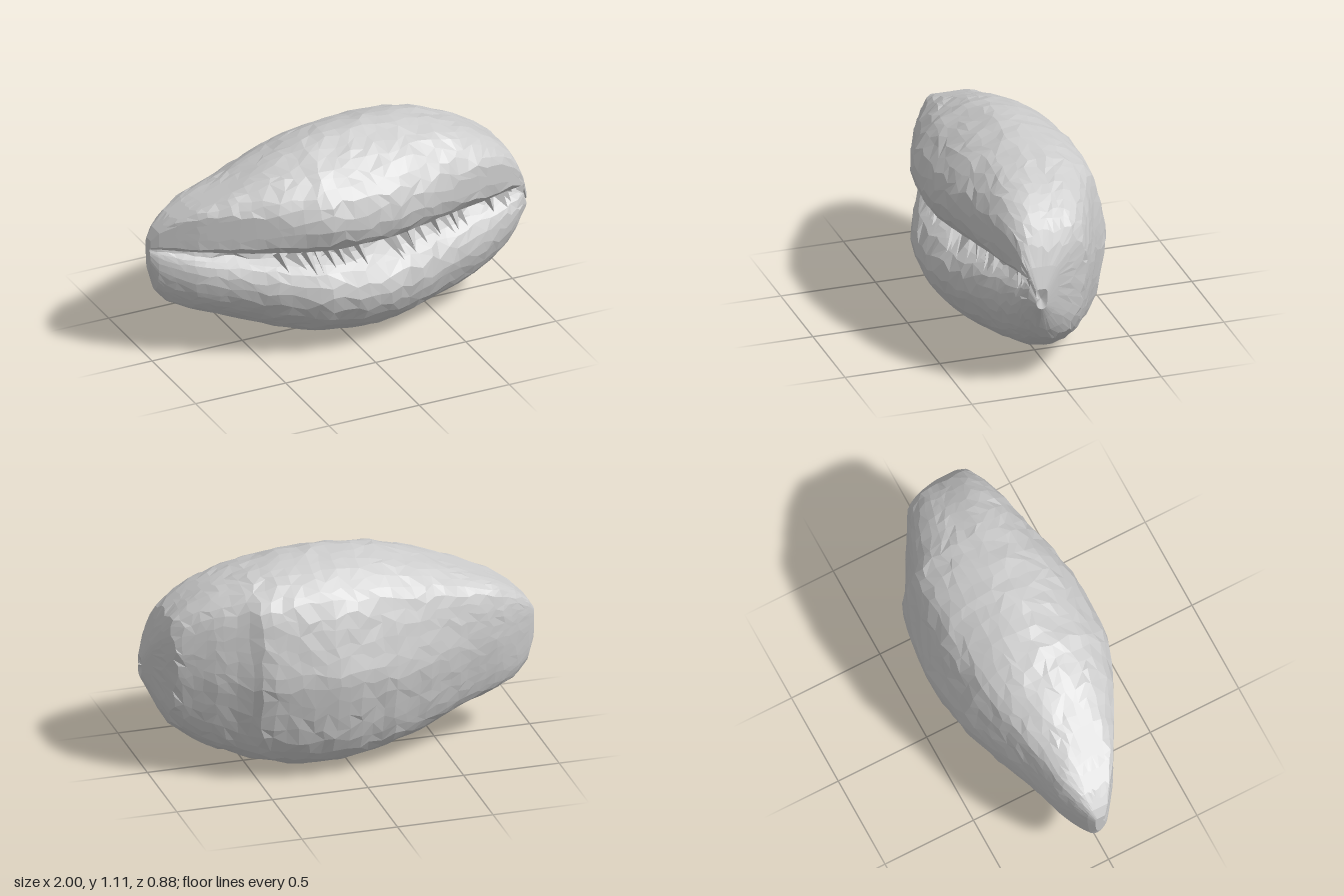
import * as THREE from 'three';

// Length stations: x, top y, bottom y, back z, front z
const STATIONS = [
  [-1, 0.67, 0.49, -0.075, -0.02], [-0.97, 0.72, 0.38, -0.1, 0.01], [-0.9, 0.785, 0.30, -0.14, 0.06],
  [-0.8, 0.845, 0.25, -0.19, 0.13], [-0.6, 0.925, 0.18, -0.25, 0.24], [-0.4, 1.01, 0.10, -0.33, 0.34],
  [-0.2, 1.08, 0.04, -0.40, 0.42], [0, 1.11, 0.01, -0.435, 0.44], [0.15, 1.11, 0.0, -0.445, 0.435],
  [0.3, 1.10, 0.01, -0.425, 0.40], [0.49, 1.06, 0.05, -0.385, 0.345], [0.58, 1.03, 0.08, -0.31, 0.32],
  [0.7, 0.98, 0.12, -0.25, 0.29], [0.8, 0.92, 0.18, -0.19, 0.26], [0.89, 0.85, 0.25, -0.14, 0.23],
  [0.94, 0.76, 0.34, -0.04, 0.215], [0.97, 0.68, 0.41, 0.04, 0.19], [1, 0.58, 0.47, 0.1, 0.16],
];

// Cross-section (depth, height), starting inside the slit and running over the top
const PROFILE = [
  [0.55, 0], [0.74, 0.03], [0.88, 0.09], [0.98, 0.28], [0.92, 0.53], [0.66, 0.79], [0.38, 0.92],
  [0.05, 1], [-0.4, 0.89], [-0.7, 0.7], [-0.86, 0.4], [-0.95, 0.15], [-1, -0.05], [-0.94, -0.35],
  [-0.83, -0.66], [-0.66, -0.85], [-0.33, -0.97], [0, -1], [0.4, -0.94], [0.7, -0.8], [0.91, -0.62],
  [1, -0.4], [0.93, -0.23], [0.77, -0.12], [0.61, -0.06],
];

function seeded(seed) {
  return () => {
    seed = (seed * 16807) % 2147483647;
    return seed / 2147483647;
  };
}

function station(x) {
  let i = 0;
  while (i < STATIONS.length - 2 && x > STATIONS[i + 1][0]) i++;
  const a = STATIONS[i], b = STATIONS[i + 1];
  const t = THREE.MathUtils.clamp((x - a[0]) / (b[0] - a[0]), 0, 1);
  return a.map((v, k) => v + (b[k] - v) * t);
}

// Place a section point (u depth, v height) on the shell at x
function place(x, u, v) {
  const [, top, bottom, back, front] = station(x);
  const slit = Math.min(0.575 + 0.05 * x * x, top - 0.05);
  // the upper half grows squarer towards both ends, most of all on the front left
  const square = x < 0 && u > 0 ? 0.8 : 0.45;
  const k = v > 0 ? 1 + square * Math.abs(x) ** 1.6 * Math.abs(u * v) : 1;
  const depth = THREE.MathUtils.clamp(u * k, -1.01, 1.01);
  const height = Math.min(v * k, 1.01);
  const y = slit + height * (v > 0 ? top - slit : slit - bottom);
  return new THREE.Vector3(x, y, (front + back) / 2 + depth * (front - back) / 2);
}

function shellGeometry() {
  const rows = 38, cols = 50, rand = seeded(71);
  const curve = new THREE.CatmullRomCurve3(PROFILE.map(([u, v]) => new THREE.Vector3(u, v, 0)), true);
  const pos = [], index = [];
  for (let i = 0; i <= rows; i++) {
    const t = (i / rows) * 2 - 1;
    const x = 0.6 * t + 0.4 * Math.sin((t * Math.PI) / 2);
    const inner = i > 1 && i < rows - 1;
    for (let j = 0; j < cols; j++) {
      // slight unevenness gives the chipped, faceted surface
      const p = curve.getPointAt((j + rand() * 0.6) / cols);
      const px = inner ? x + (rand() - 0.5) * 0.026 : x;
      const k = inner ? 1 + (rand() - 0.5) * 0.02 : 1;
      pos.push(...place(px, p.x * k, p.y * k).toArray());
    }
  }
  for (let i = 0; i < rows; i++) {
    for (let j = 0; j < cols; j++) {
      const n = (j + 1) % cols;
      const a = i * cols + j, b = a + cols, d = i * cols + n, c = d + cols;
      if (rand() > 0.5) index.push(a, b, c, a, c, d);
      else index.push(a, b, d, b, c, d);
    }
  }
  // Closed ends, the right-hand one slightly dimpled
  const left = pos.length / 3, right = left + 1, last = rows * cols;
  const dimple = place(1, 0, -0.1).setX(0.98);
  pos.push(...place(-1, 0, -0.1).toArray(), ...dimple.toArray());
  for (let j = 0; j < cols; j++) {
    const n = (j + 1) % cols;
    index.push(left, j, n, right, last + n, last + j);
  }
  const g = new THREE.BufferGeometry();
  g.setAttribute('position', new THREE.Float32BufferAttribute(pos, 3));
  g.setIndex(index);
  g.computeVertexNormals();
  return g;
}

export function createModel() {
  const model = new THREE.Group();
  const material = new THREE.MeshStandardMaterial({ color: 0xcccccc, flatShading: true, side: THREE.DoubleSide });

  const shell = new THREE.Mesh(shellGeometry(), material);
  shell.name = 'shell';
  model.add(shell);

  // Uneven pointed teeth running from the slit down onto the lower lip, in three clusters
  const teeth = new THREE.Group();
  teeth.name = 'teeth';
  const rand = seeded(19), up = new THREE.Vector3(0, 1, 0);
  for (const [start, end, count] of [[-0.4, -0.02, 8], [0.14, 0.6, 10], [0.78, 0.94, 5]]) {
    for (let i = 0; i < count; i++) {
      const x = start + ((end - start) * i) / (count - 1) + (rand() - 0.5) * 0.03;
      const reach = rand();
      const root = place(x, 0.7, 0.02);
      const tip = place(Math.min(x + 0.01 + rand() * 0.06, 0.97), 0.82 + reach * 0.08, -0.13 - reach * 0.07);
      const dir = tip.clone().sub(root);
      const tooth = new THREE.Mesh(new THREE.ConeGeometry(0.02 + rand() * 0.015, dir.length(), 3), material);
      tooth.name = 'tooth';
      tooth.position.copy(root).addScaledVector(dir, 0.5);
      tooth.quaternion.setFromUnitVectors(up, dir.normalize());
      teeth.add(tooth);
    }
  }
  model.add(teeth);
  return model;
}
